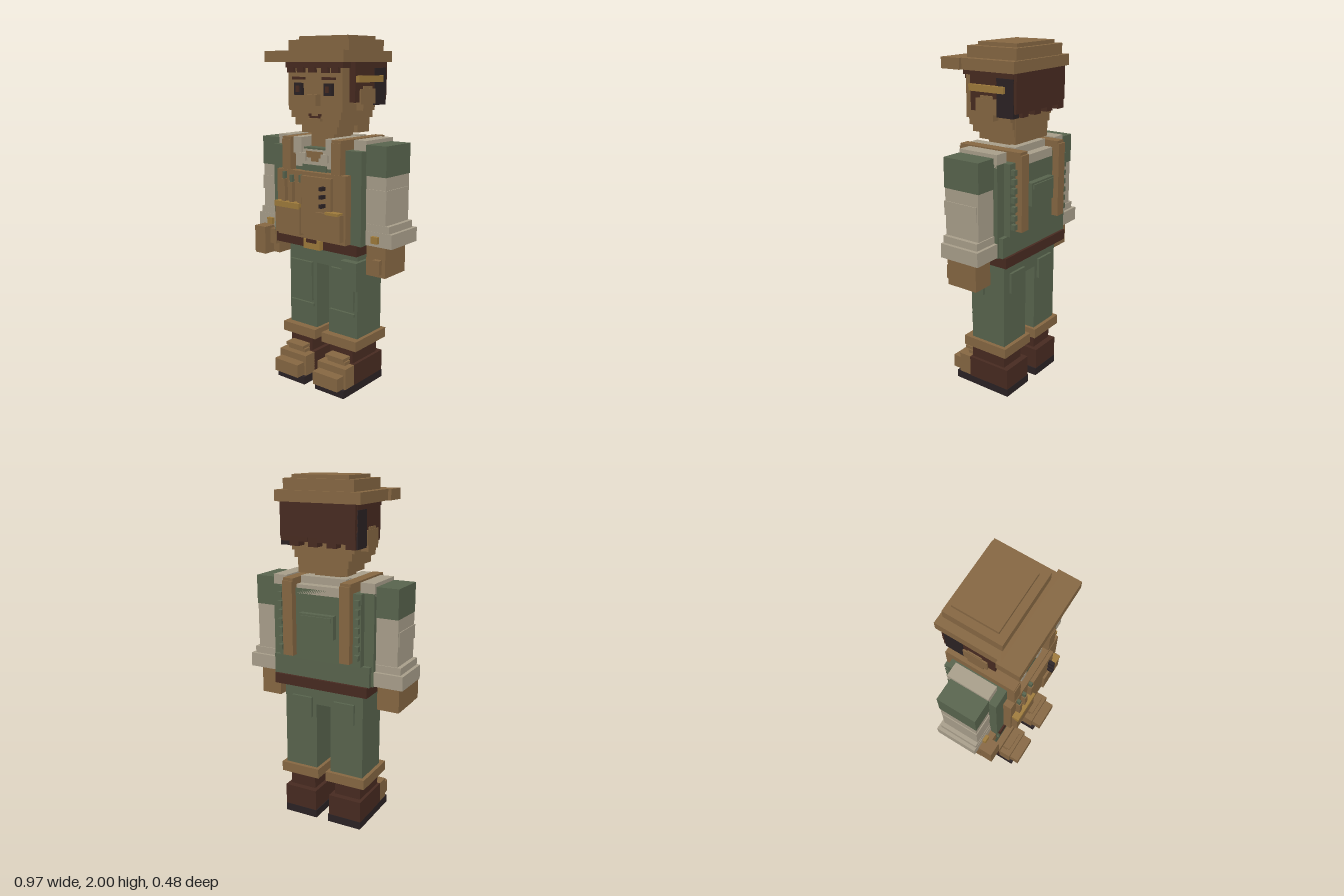
import * as THREE from 'three';

const mat = (name, color) => Object.assign(new THREE.MeshStandardMaterial({ color }), { name });

export function createModel() {
  const tan = mat('tan', 0x876843), green = mat('green', 0x59654e), cream = mat('cream', 0xaaa08c);
  const brown = mat('dark brown', 0x482b21), black = mat('near black', 0x2b2224), gold = mat('gold', 0xa07c3c);
  const model = new THREE.Group();
  model.name = 'worker';
  let part = model;

  const group = (name) => {
    part = new THREE.Group();
    part.name = name;
    model.add(part);
  };
  // Box given by its limits on each axis
  const box = (name, m, x0, x1, y0, y1, z0, z1) => {
    const mesh = new THREE.Mesh(new THREE.BoxGeometry(x1 - x0, y1 - y0, z1 - z0), m);
    mesh.position.set((x0 + x1) / 2, (y0 + y1) / 2, (z0 + z1) / 2);
    mesh.name = name;
    part.add(mesh);
  };
  // Box centred on x = 0
  const mid = (name, m, w, ...r) => box(name, m, -w, w, ...r);
  // Mirrored pair of boxes
  const pair = (name, m, x0, x1, ...r) => {
    box(name + 'Left', m, x0, x1, ...r);
    box(name + 'Right', m, -x1, -x0, ...r);
  };

  // Flat cap with stepped crown and brim
  group('cap');
  mid('capTop', tan, 0.17, 1.98, 2.0, -0.18, 0.07);
  mid('capCrown', tan, 0.21, 1.92, 1.98, -0.205, 0.112);
  mid('capBand', tan, 0.255, 1.86, 1.92, -0.222, 0.135);
  mid('capBrim', tan, 0.273, 1.86, 1.92, 0.115, 0.24);

  // Head with stepped jaw
  group('head');
  mid('face', tan, 0.19, 1.6, 1.86, -0.155, 0.14);
  [[0.175, 1.56, 0.135], [0.155, 1.52, 0.125], [0.125, 1.478, 0.105]].forEach(([w, y, z], i) =>
    mid('jaw' + i, tan, w, y, y + 0.045, -0.155, z));
  mid('nape', tan, 0.15, 1.478, 1.62, -0.157, -0.05);
  mid('neck', tan, 0.08, 1.36, 1.48, -0.1, 0.075);
  pair('ear', tan, 0.185, 0.236, 1.64, 1.72, -0.095, 0.04);
  pair('earLobe', tan, 0.185, 0.234, 1.605, 1.65, -0.075, 0.015);
  pair('earTop', tan, 0.185, 0.234, 1.72, 1.735, -0.07, 0.01);
  mid('nose', tan, 0.04, 1.63, 1.69, 0.13, 0.18);
  pair('eye', black, 0.078, 0.132, 1.685, 1.75, 0.135, 0.16);
  pair('pupil', brown, 0.093, 0.115, 1.7, 1.735, 0.155, 0.168);
  pair('brow', brown, 0.065, 0.145, 1.768, 1.782, 0.135, 0.16);
  mid('mouth', brown, 0.035, 1.563, 1.573, 0.12, 0.145);
  pair('mouthCorner', brown, 0.028, 0.042, 1.573, 1.585, 0.12, 0.145);
  mid('lowerLip', tan, 0.04, 1.545, 1.56, 0.12, 0.145);

  // Hair with ragged lower edge and fringe
  group('hair');
  pair('hairSide', brown, 0.18, 0.228, 1.7, 1.86, -0.2, 0.08);
  pair('sideburn', brown, 0.18, 0.226, 1.65, 1.72, 0.03, 0.08);
  pair('sideShade', black, 0.18, 0.232, 1.63, 1.83, -0.2, -0.095);
  mid('hairBack', brown, 0.225, 1.68, 1.86, -0.218, -0.14);
  for (let i = 0; i < 8; i++) {
    const x = -0.225 + i * 0.05625;
    box('hairTuft' + i, brown, x, x + 0.056, 1.63 + (i % 2) * 0.025, 1.69, -0.214, -0.15);
  }
  mid('fringe', brown, 0.2, 1.83, 1.86, 0.07, 0.152);
  [-0.18, -0.11, -0.03, 0.06, 0.13].forEach((x, i) =>
    box('fringeLock' + i, brown, x, x + 0.045, 1.805, 1.835, 0.13, 0.16));
  box('pencil', gold, 0.222, 0.25, 1.755, 1.79, -0.15, 0.075);

  // Jacket torso, shirt and collar
  group('torso');
  mid('jacket', green, 0.313, 0.885, 1.4, -0.16, 0.135);
  mid('jacketBack', green, 0.255, 1.0, 1.4, -0.2, -0.15);
  mid('backHem', green, 0.3, 0.885, 1.0, -0.185, -0.15);
  mid('backPocket', green, 0.105, 1.14, 1.27, -0.235, -0.19);
  mid('backPocketFlap', green, 0.095, 1.235, 1.26, -0.243, -0.19);
  pair('shoulderYoke', cream, 0.23, 0.313, 1.385, 1.455, -0.158, 0.09);
  mid('shirt', cream, 0.14, 1.29, 1.39, 0.1, 0.142);
  mid('skinOpening', tan, 0.06, 1.345, 1.38, 0.1, 0.147);
  mid('skinOpeningTip', tan, 0.025, 1.325, 1.35, 0.1, 0.147);
  mid('shirtShadowPanel', green, 0.085, 1.27, 1.305, 0.1, 0.147);
  pair('collar', cream, 0.085, 0.145, 1.365, 1.455, -0.12, 0.155);
  pair('collarTip', cream, 0.055, 0.1, 1.325, 1.37, 0.1, 0.16);
  mid('collarBack', cream, 0.14, 1.39, 1.46, -0.15, -0.085);
  mid('collarBackStep', cream, 0.14, 1.37, 1.42, -0.2, -0.14);
  for (let i = 0; i < 7; i++) {
    const y = 1.04 + i * 0.05;
    pair('backStitch' + i, green, 0.225, 0.25, y, y + 0.03, -0.225, -0.19);
  }

  // Apron, straps, pockets and tools
  group('apron');
  mid('apronPanel', tan, 0.245, 0.89, 1.27, 0.13, 0.183);
  box('apronCentre', tan, -0.05, 0.16, 0.92, 1.25, 0.18, 0.205);
  pair('strapFront', tan, 0.145, 0.207, 1.25, 1.44, 0.13, 0.18);
  pair('strapTop', tan, 0.145, 0.207, 1.39, 1.455, -0.23, 0.175);
  pair('strapBack', tan, 0.145, 0.207, 1.02, 1.44, -0.241, -0.19);
  box('pocketRight', tan, -0.232, -0.05, 0.91, 1.07, 0.18, 0.218);
  box('pocketTrim', gold, -0.232, -0.05, 1.06, 1.092, 0.18, 0.224);
  box('pocketLeft', tan, 0.062, 0.232, 0.91, 1.06, 0.18, 0.218);
  box('pocketTab', gold, 0.135, 0.225, 1.055, 1.07, 0.18, 0.224);
  [[-0.18, 1.26], [-0.125, 1.245], [-0.06, 1.25]].forEach(([x, y], i) => {
    box('toolHandle' + i, tan, x - 0.013, x + 0.013, 1.09, y - 0.04, 0.18, 0.208);
    box('toolTip' + i, green, x - 0.008, x + 0.008, y - 0.04, y, 0.18, 0.203);
  });
  [1.195, 1.15, 1.1].forEach((y, i) =>
    box('button' + i, black, 0.106, 0.126, y - 0.01, y + 0.01, 0.2, 0.24));

  // Belt with buckle
  group('belt');
  mid('beltBand', brown, 0.293, 0.828, 0.887, -0.2, 0.145);
  mid('buckle', gold, 0.06, 0.83, 0.885, 0.13, 0.175);
  mid('buckleInset', brown, 0.035, 0.868, 0.89, 0.13, 0.182);

  // Sleeves, cuffs and hands
  group('arms');
  pair('upperSleeve', green, 0.31, 0.441, 1.27, 1.435, -0.138, 0.092);
  pair('lowerSleeve', cream, 0.313, 0.44, 0.97, 1.27, -0.133, 0.088);
  pair('sleeveFold', cream, 0.315, 0.445, 1.12, 1.2, -0.125, 0.093);
  pair('cuffStep', cream, 0.315, 0.463, 0.965, 1.01, -0.14, 0.09);
  pair('cuff', cream, 0.313, 0.483, 0.89, 0.97, -0.158, 0.092);
  pair('cuffButton', gold, 0.362, 0.402, 0.91, 0.948, 0.08, 0.112);
  box('handLeft', tan, 0.315, 0.44, 0.72, 0.89, -0.11, 0.085);
  box('thumbLeft', tan, 0.375, 0.418, 0.74, 0.82, 0.08, 0.112);
  box('handRight', tan, -0.445, -0.315, 0.74, 0.89, -0.11, 0.1);
  box('fistRight', tan, -0.443, -0.36, 0.74, 0.905, 0.09, 0.175);
  box('thumbRight', tan, -0.362, -0.317, 0.8, 0.89, 0.09, 0.13);

  // Trousers with knee panels and pockets
  group('trousers');
  mid('hips', green, 0.25, 0.72, 0.83, -0.155, 0.075);
  pair('leg', green, 0.045, 0.25, 0.32, 0.73, -0.155, 0.075);
  pair('kneePanel', green, 0.07, 0.232, 0.485, 0.72, 0.07, 0.092);
  pair('kneeFold', green, 0.06, 0.235, 0.45, 0.468, 0.07, 0.09);
  pair('backPocket', green, 0.07, 0.2, 0.64, 0.76, -0.17, -0.15);
  box('cargoPocket', green, 0.165, 0.268, 0.615, 0.78, -0.02, 0.112);
  box('cargoFlap', green, 0.16, 0.27, 0.735, 0.78, -0.02, 0.118);
  pair('trouserCuff', tan, 0.025, 0.272, 0.262, 0.32, -0.178, 0.118);

  // Boots with toe caps, laces and soles
  group('boots');
  pair('bootShaft', brown, 0.068, 0.232, 0.165, 0.265, -0.14, 0.093);
  pair('bootFoot', brown, 0.045, 0.25, 0.045, 0.172, -0.175, 0.1);
  pair('toeUpper', tan, 0.045, 0.248, 0.045, 0.17, 0.095, 0.18);
  pair('toeCap', tan, 0.058, 0.235, 0.052, 0.13, 0.17, 0.24);
  pair('tongue', tan, 0.085, 0.215, 0.165, 0.19, 0.08, 0.14);
  pair('lace', tan, 0.085, 0.215, 0.197, 0.215, 0.085, 0.16);
  pair('sole', black, 0.04, 0.25, 0, 0.047, -0.177, 0.2);

  return model;
}
